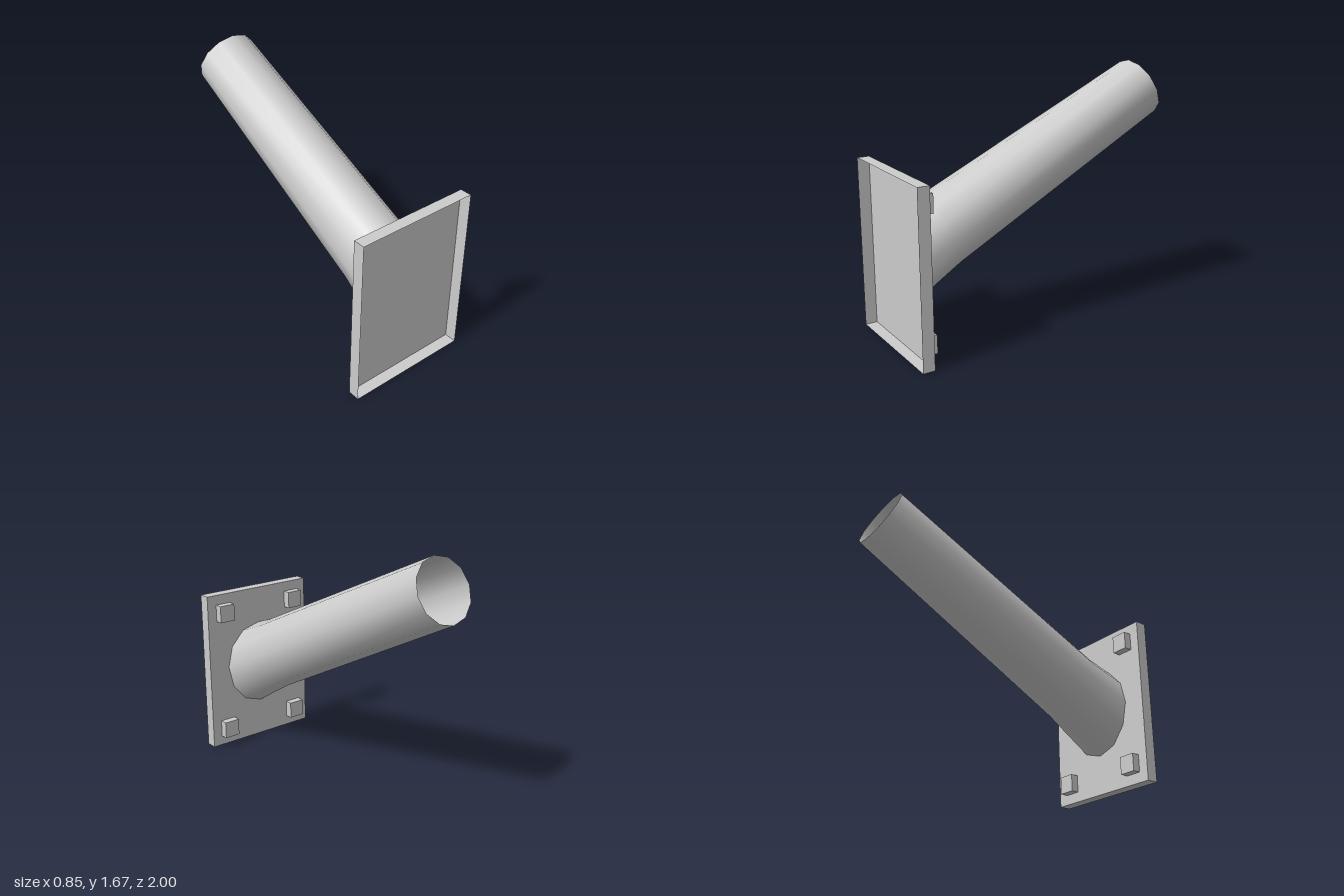
import * as THREE from 'three';

const SIDES = 12;

// One cross-section of the tube: centre, half width, and the slant of its upper half
function ring({ y, z, w, dy, dz, bulge = 0 }) {
  return Array.from({ length: SIDES }, (_, i) => {
    const a = (i / SIDES) * Math.PI * 2;
    const s = Math.sin(a), c = Math.cos(a);
    return new THREE.Vector3(w * s, y + dy * c + bulge * s * s, z + dz * c);
  });
}

// Smooth open tube through a list of rings
function loft(rings) {
  const index = [];
  for (let r = 0; r < rings.length - 1; r++) {
    for (let i = 0; i < SIDES; i++) {
      const a = r * SIDES + i, b = r * SIDES + ((i + 1) % SIDES);
      index.push(a, b, a + SIDES, b, b + SIDES, a + SIDES);
    }
  }
  const geometry = new THREE.BufferGeometry().setFromPoints(rings.flat());
  geometry.setIndex(index);
  geometry.computeVertexNormals();
  return geometry;
}

export function createModel() {
  const group = new THREE.Group();
  const metal = new THREE.MeshStandardMaterial({ color: 0xcccccc, side: THREE.DoubleSide });
  metal.name = 'grey metal';

  function add(name, geometry, x = 0, y = 0, z = 0) {
    const mesh = new THREE.Mesh(geometry, metal);
    mesh.name = name;
    mesh.position.set(x, y, z);
    group.add(mesh);
  }

  // Mounting plate: a shallow tray, open on the wall side (+z)
  const plate = new THREE.BoxGeometry(0.85, 1.14, 0.08);
  const faces = Array.from(plate.index.array);
  faces.splice(24, 6);
  plate.setIndex(faces);
  plate.clearGroups();
  add('mountingPlate', plate, 0, 0.57, 0.96);

  // Tube: flared foot, bend, then a long tapering arm with an open end
  const foot = ring({ y: 0.575, z: 0.92, w: 0.27, dy: 0.305, dz: 0, bulge: 0.013 });
  const bend = ring({ y: 0.715, z: 0.66, w: 0.24, dy: 0.225, dz: 0.1 });
  const mouth = ring({ y: 1.4875, z: -0.9125, w: 0.21, dy: 0.1875, dz: 0.0875 });
  add('tube', loft([foot, bend, mouth]));

  // Foot cap, shaded as the inward side of the tube's end
  const outline = foot.map((p) => new THREE.Vector2(p.x, p.y));
  const cap = new THREE.ShapeGeometry(new THREE.Shape(outline));
  const normals = cap.attributes.normal;
  for (let i = 0; i < normals.count; i++) normals.setXYZ(i, 0, 0, -1);
  add('footCap', cap, 0, 0, 0.923);

  // Four square bolts on the back of the plate
  for (const x of [-0.2975, 0.2975]) {
    for (const y of [0.13, 1.01]) {
      add('bolt', new THREE.BoxGeometry(0.115, 0.12, 0.055), x, y, 0.8925);
    }
  }

  return group;
}
